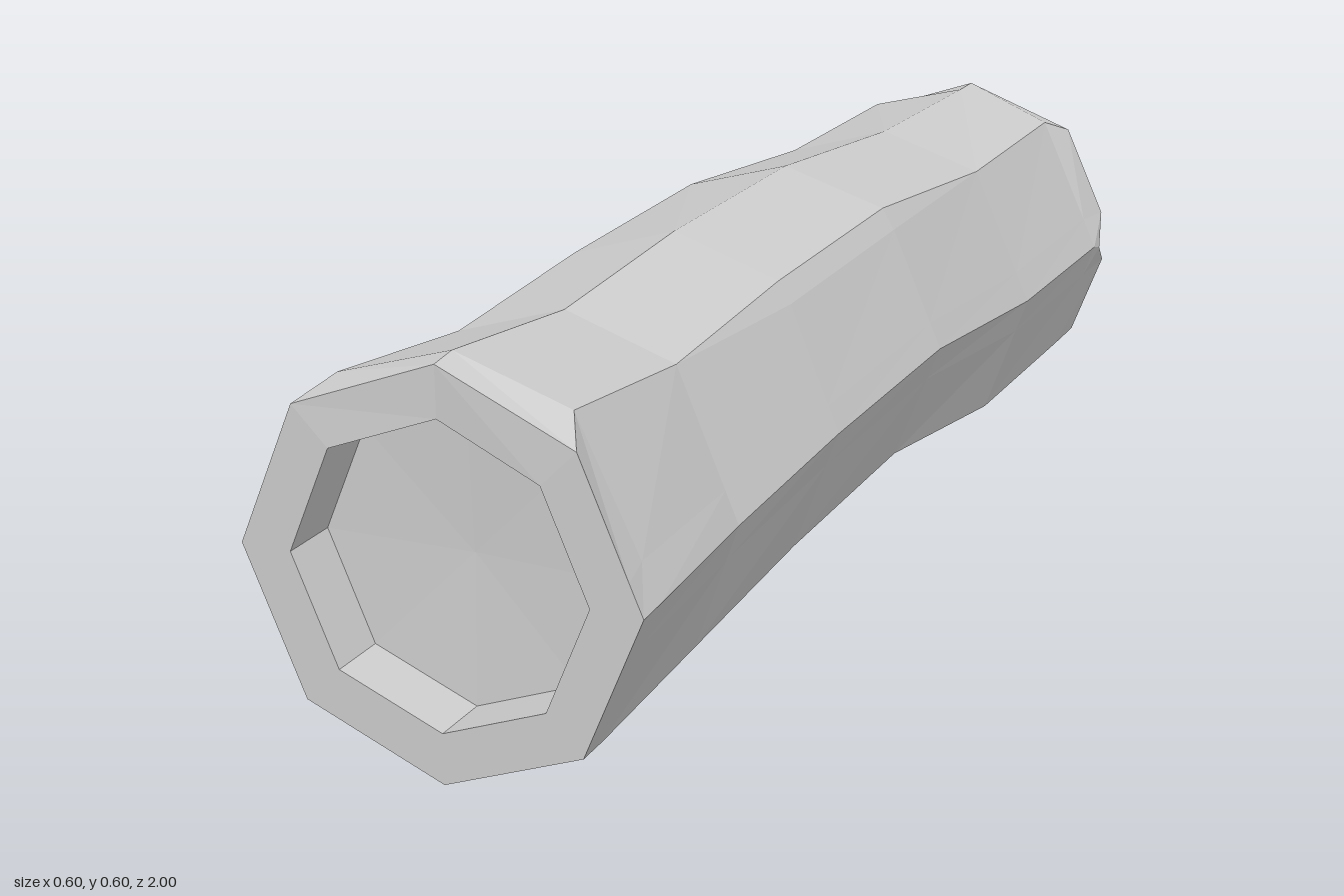
import * as THREE from 'three';

// Ring of 12 points, clockwise from the top as seen from the front.
// zAt(y) gives the depth, so that a ring can lean.
function ring({ top, up, side, low, bottom, bevel = 0 }, zAt) {
  const f = typeof zAt === 'function' ? zAt : () => zAt;
  const half = s => {
    const a = [s * up[0], up[1]];
    const b = [s * (up[0] + bevel * 0.6), up[1] - bevel];
    return { a, b, m: [s * side[0], side[1]], l: [s * low[0], low[1]] };
  };
  const mix = (p, q, t) => [p[0] + (q[0] - p[0]) * t, p[1] + (q[1] - p[1]) * t];
  const r = half(1), l = half(-1);
  return [
    [0, top], r.a, r.b, mix(r.m, r.b, 0.22), r.m, mix(r.m, r.l, 0.28), r.l,
    [0, bottom], l.l, l.m, l.b, l.a,
  ].map(([x, y]) => new THREE.Vector3(x, y, f(y)));
}

// Copy of a ring shrunk about the height cy and moved in z
const shrink = (pts, k, cy, dz = 0) =>
  pts.map(p => new THREE.Vector3(p.x * k, cy + (p.y - cy) * k, p.z + dz));
const flatAt = (pts, z) => pts.map(p => new THREE.Vector3(p.x, p.y, z));
const point = (y, z) => Array.from({ length: 12 }, () => new THREE.Vector3(0, y, z));

// Faceted skin over rings listed from front to back
function loft(name, rings, material) {
  const pos = [];
  const tri = (a, b, c) => {
    const area = b.clone().sub(a).cross(c.clone().sub(a)).length();
    if (area > 1e-7) pos.push(...a, ...b, ...c);
  };
  for (let r = 0; r < rings.length - 1; r++) {
    for (let i = 0; i < 12; i++) {
      const j = (i + 1) % 12;
      const a = rings[r][i], b = rings[r][j], c = rings[r + 1][i], d = rings[r + 1][j];
      tri(a, b, c);
      tri(b, d, c);
    }
  }
  const geo = new THREE.BufferGeometry();
  geo.setAttribute('position', new THREE.Float32BufferAttribute(pos, 3));
  geo.computeVertexNormals();
  const mesh = new THREE.Mesh(geo, material);
  mesh.name = name;
  return mesh;
}

export function createModel() {
  const group = new THREE.Group();
  group.name = 'hollowLog';
  const grey = new THREE.MeshStandardMaterial({ color: 0xcccccc });
  grey.name = 'paleGrey';

  // Flared front rim
  const front = ring(
    { top: 0.59, up: [0.21, 0.51], side: [0.3, 0.3], low: [0.21, 0.087], bottom: 0.004 },
    y => (y > 0.55 ? 0.985 : 1));

  // Leaning back rim, with a notch split into its +x side
  const back = ring(
    { top: 0.53, up: [0.19, 0.46], side: [0.268, 0.26], low: [0.2, 0.065], bottom: 0 },
    y => -0.945 - (0.53 - y) * 0.085);
  const backInner = shrink(back, 0.7, 0.265);
  for (const [rim, k] of [[back, 1], [backInner, 0.75]]) {
    rim[3].set(0.255 * k, 0.305, -0.967);
    rim[4].set(0.267 * k, 0.25, -0.925);
    rim[5].set(0.25 * k, 0.205, -1);
  }

  // Gently bent trunk
  const trunk = [
    [0.94, { top: 0.595, up: [0.175, 0.54], side: [0.294, 0.297], low: [0.207, 0.085], bottom: 0.006 }],
    [0.64, { top: 0.56, up: [0.17, 0.505], side: [0.263, 0.285], low: [0.195, 0.09], bottom: 0.02 }],
    [0.3, { top: 0.58, up: [0.168, 0.525], side: [0.266, 0.303], low: [0.195, 0.112], bottom: 0.045, bevel: 0.033 }],
    [-0.1, { top: 0.58, up: [0.168, 0.53], side: [0.27, 0.31], low: [0.195, 0.12], bottom: 0.052, bevel: 0.033 }],
    [-0.52, { top: 0.538, up: [0.17, 0.485], side: [0.27, 0.266], low: [0.197, 0.062], bottom: 0.004 }],
    [-0.89, { top: 0.53, up: [0.165, 0.485], side: [0.269, 0.261], low: [0.2, 0.064], bottom: 0.001 }],
  ].map(([z, shape]) => ring(shape, z));
  group.add(loft('trunk', [front, ...trunk, back], grey));

  // Front rim face and shallow hollow
  const frontInner = shrink(front, 0.745, 0.3);
  group.add(loft('frontHollow',
    [point(0.3, 0.9), flatAt(frontInner, 0.91), frontInner, front], grey));

  // Back rim face and deeper hollow
  group.add(loft('backHollow',
    [back, backInner, flatAt(backInner, -0.85), point(0.265, -0.84)], grey));

  return group;
}
